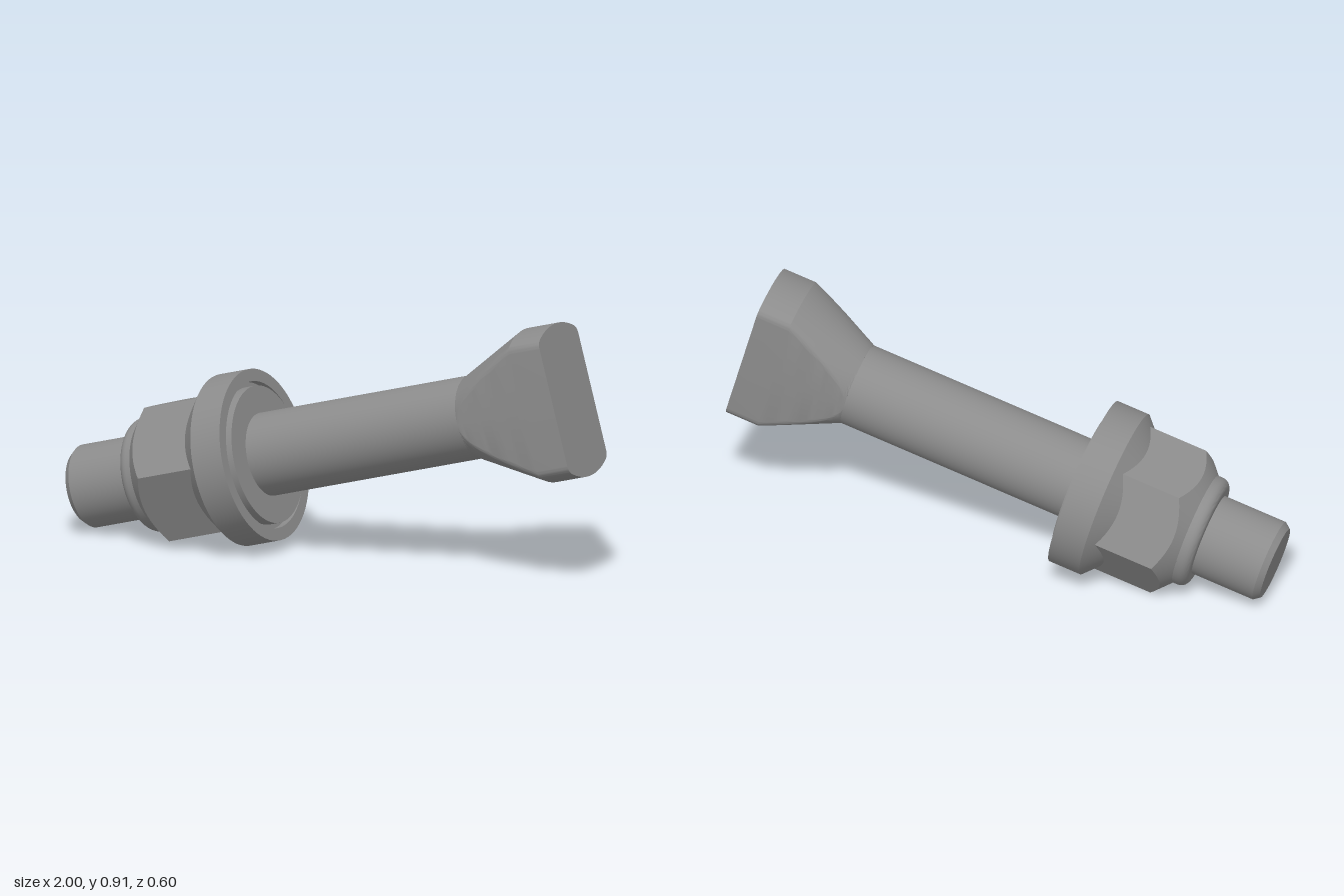
import * as THREE from 'three';
import { toCreasedNormals } from 'three/addons/utils/BufferGeometryUtils.js';

const steel = new THREE.MeshStandardMaterial({ color: 0x8c8c8c });
steel.name = 'steel grey';

const SHAFT_R = 0.145;

function part(name, geometry, crease = 0.4) {
  const mesh = new THREE.Mesh(toCreasedNormals(geometry, crease), steel);
  mesh.name = name;
  return mesh;
}

// Turned part: profile of [radius, distance along the axis]
function turned(name, profile) {
  return part(name, new THREE.LatheGeometry(profile.map(([r, y]) => new THREE.Vector2(r, y)), 72));
}

// Skin over rings of [x, y, z] points, each ring counter-clockwise around +y, capped at both ends
function loft(rings) {
  const n = rings[0].length, last = (rings.length - 1) * n;
  const pos = rings.flat(2), idx = [];
  const centre = (ring) => ring.reduce((s, p) => s + p[1], 0) / ring.length;
  pos.push(0, centre(rings[0]), 0, 0, centre(rings[rings.length - 1]), 0);
  const bottom = last + n, top = bottom + 1;
  for (let i = 0; i < n; i++) {
    const j = (i + 1) % n;
    for (let k = 0; k < last; k += n) {
      idx.push(k + i, k + j, k + n + j, k + i, k + n + j, k + n + i);
    }
    idx.push(bottom, j, i, top, last + i, last + j);
  }
  const g = new THREE.BufferGeometry();
  g.setAttribute('position', new THREE.Float32BufferAttribute(pos, 3));
  g.setIndex(idx);
  return g;
}

// Hexagonal nut body with a conical chamfer on its outer end
function nutBody() {
  const flat = 0.27 * Math.cos(Math.PI / 6), step = Math.PI / 3, turn = -5.5 * Math.PI / 180;
  const rings = [[], [], []];
  for (let i = 0; i < 72; i++) {
    const a = i * Math.PI / 36;
    const r = flat / Math.cos((a % step) - step / 2);
    const x = Math.sin(a + turn), z = Math.cos(a + turn);
    rings[0].push([0.2 * x, 0.3, 0.2 * z]);
    rings[1].push([r * x, 0.3 + (r - 0.2) * 0.93, r * z]);
    rings[2].push([r * x, 0.6, r * z]);
  }
  return loft(rings);
}

// Head cross-section: a circle of radius r with two flat sides and rounded corners
function headSection(r, y) {
  const f = 0.035, cz = SHAFT_R - f, N = 8;
  const h = Math.sqrt(Math.max(0, (r - f) ** 2 - cz ** 2));
  const corner = Math.atan2(h, cz), quarter = [];
  quarter.push([0, SHAFT_R]);
  for (let i = 0; i <= N; i++) {
    const a = corner * i / N;
    quarter.push([h + f * Math.sin(a), cz + f * Math.cos(a)]);
  }
  for (let i = 1; i <= N; i++) {
    const a = corner + (Math.PI / 2 - corner) * i / N;
    quarter.push([r * Math.sin(a), r * Math.cos(a)]);
  }
  const half = [...quarter, ...quarter.slice(0, -1).reverse().map(([x, z]) => [x, -z])];
  const other = half.slice(1, -1).reverse().map(([x, z]) => [-x, z]);
  return [...half, ...other].map(([x, z]) => [x, y, z]);
}

function headGeometry() {
  const rings = [];
  for (let i = 0; i <= 16; i++) {
    const k = (i / 16) ** 1.5; // finer near the shaft, where the flats begin
    rings.push(headSection(0.1455 + 0.1245 * k, 1.575 + 0.265 * k));
  }
  rings.push(headSection(0.27, 1.961));
  return loft(rings);
}

export function createModel() {
  const model = new THREE.Group();
  model.name = 'hammerHeadBolt';

  // Everything is built along +y, then the bolt is tilted 15 degrees above the ground
  const bolt = new THREE.Group();
  bolt.name = 'boltAssembly';
  bolt.rotation.z = -75 * Math.PI / 180;
  bolt.position.set(-0.967, 0.145, 0);
  model.add(bolt);

  bolt.add(turned('shaft', [[0, 0], [0.128, 0], [SHAFT_R, 0.022], [SHAFT_R, 1.58]]));
  bolt.add(part('head', headGeometry(), 0.35));
  bolt.add(part('nut', nutBody(), 0.3));

  // Rounded locking collar on the nut
  const collar = [[0.14, 0.25], [0.168, 0.25]];
  for (let i = 1; i <= 6; i++) {
    const a = i * Math.PI / 12;
    collar.push([0.168 + 0.032 * Math.sin(a), 0.282 - 0.032 * Math.cos(a)]);
  }
  collar.push([0.2, 0.3], [0.205, 0.31]);
  bolt.add(turned('lockingCollar', collar));

  // Conical washer with a recessed groove around its seat
  bolt.add(turned('washer', [
    [0.14, 0.537], [0.228, 0.537], [0.3, 0.605], [0.3, 0.722],
    [0.257, 0.722], [0.257, 0.695], [0.2, 0.695],
  ]));
  bolt.add(turned('washerSeat', [[0.24, 0.69], [0.24, 0.734], [0.14, 0.734]]));

  return model;
}
